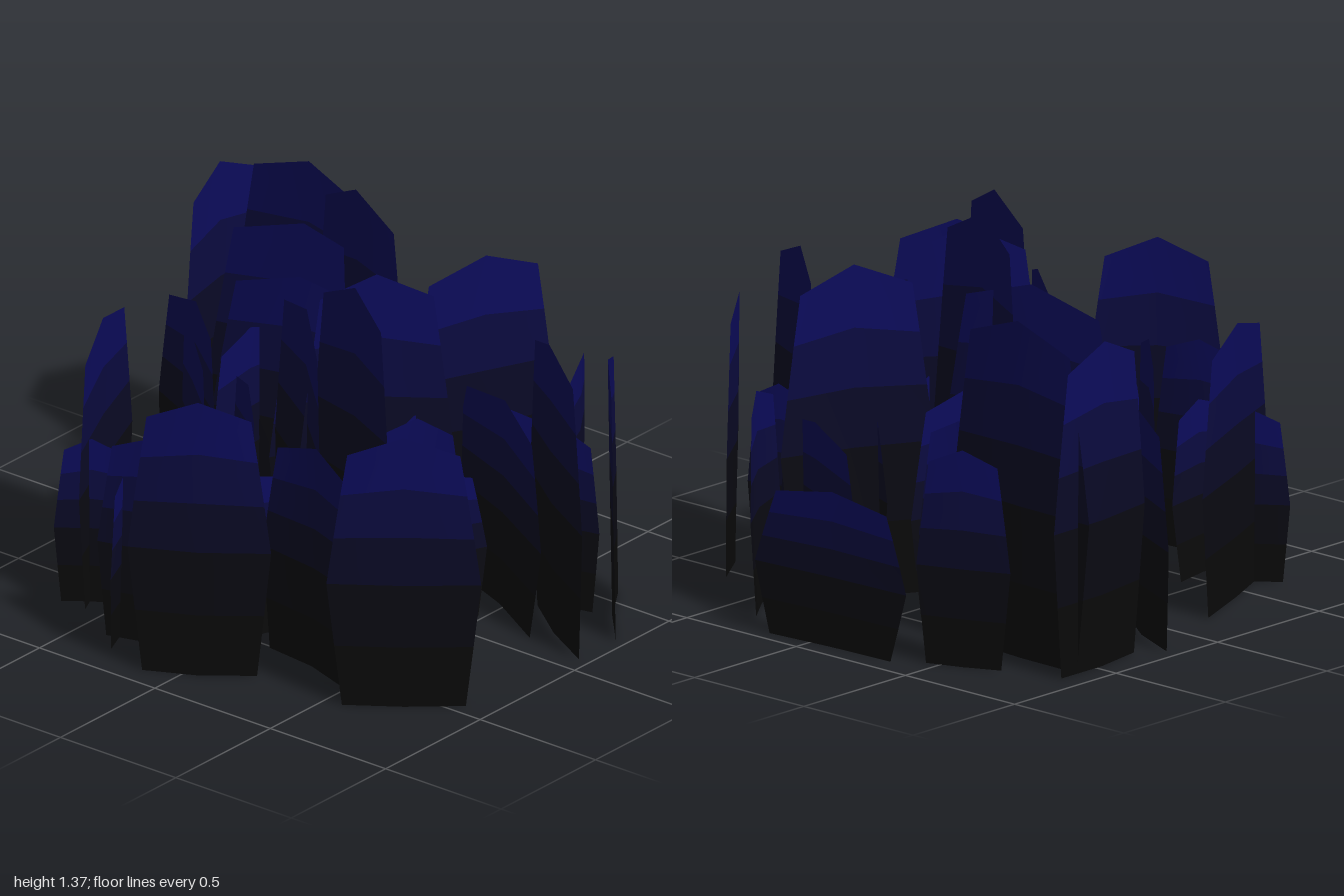
import * as THREE from 'three';

// Each blade: ends of its widest line seen from above (x1, z1, x2, z2) and its height
const outerBlades = [
  [-0.73, -0.55, -0.13, -0.81, 0.96], [0.56, -0.31, 0.6, -0.97, 1.18],
  [0.04, 1.0, 0.34, 0.53, 1.07], [-0.95, -0.16, -0.69, 0.25, 1.02],
  [0.945, 0.24, 0.91, -0.42, 0.54], [-0.74, 0.53, -0.42, 0.94, 1.0],
  [0.23, 0.98, 0.6, 0.69, 0.95], [0.52, 0.52, 0.87, 0.33, 0.74],
  [0.73, -0.73, 0.86, -0.42, 0.76], [0.52, 0.52, 0.8, 0.1 - 0.2, 0.67],
  [0.23, -0.88, 0.72, -0.92, 1.14], [-0.03, -0.53, 0.23, -0.99, 0.8],
  [-0.68, -0.7, -0.54, -0.49, 0.6], [-0.88, -0.29, -0.59, -0.44, 0.6],
  [-0.78, -0.43, -0.71, -0.05, 0.75], [-0.6, 0.54, -0.49, 0.05, 0.8],
];
const innerBlades = [
  [-0.2, -0.03, 0.16, 0.35, 1.22], [-0.34, 0.48, -0.17, 0.0, 1.28],
  [0.17, 0.14, 0.3, -0.37, 1.37], [0.19, 0.12, 0.7, 0.35, 1.16],
  [0.17, -0.73, 0.26, 0.02, 1.17], [0.11, -0.66, 0.26, 0.0, 1.0],
  [-0.2, 0.27, 0.0, 0.53, 0.78], [-0.34, 0.36, -0.07, 0.46, 0.65],
  [0.07, -0.15, 0.51, -0.07, 0.77], [0.46, -0.45, 0.59, -0.18, 0.75],
  [0.47, -0.45, 0.47, -0.12, 0.7], [-0.75, -0.4, -0.4, -0.42, 0.6],
  [-0.38, -0.28, -0.09, -0.63, 0.9], [-0.37, -0.08, -0.03, -0.46, 0.75],
  [-0.7, -0.03, -0.32, 0.03, 0.6], [-0.38, 0.21, 0.04, -0.33, 1.08],
  [-0.42, 0.13, -0.12, 0.09, 0.55], [-0.17, 0.27, 0.28, 0.21, 0.7],
  [-0.2, 0.35, 0.16, 0.49, 0.55], [0.0, 0.11, 0.27, 0.06, 0.5],
  [0.03, 0.16, 0.28, 0.25, 0.5], [0.06, 0.26, 0.14, -0.15, 0.85],
  [0.13, -0.43, 0.41, -0.23, 0.7], [0.08, 0.79, 0.39, 0.15, 0.75],
  [0.33, 0.55, 0.4, 0.78, 0.65], [-0.12, -0.48, 0.29, -0.5, 0.8],
  [0.35, 0.2, 0.54, 0.5, 0.6],
];

// Rows up the blade: height of the edges, height of the midrib, width (shares of full size)
const rows = [
  [0, 0, 0.8], [0.22, 0.22, 0.9], [0.45, 0.45, 1],
  [0.62, 0.63, 0.91], [0.78, 0.81, 0.82], [0.93, 1, 0.73],
];

// Nearly black at the root, deep blue at the tip
const materials = rows.slice(1).map((row, i) => new THREE.MeshStandardMaterial({
  color: [0x0a0a0a, 0x0a0a12, 0x0a0a26, 0x0b0b40, 0x0c0c5c][i],
  side: THREE.DoubleSide,
}));

function createBlade([x1, z1, x2, z2, height], index) {
  const width = Math.hypot(x2 - x1, z2 - z1);
  const bend = (index % 2 ? 1 : -1) * (0.006 + 0.005 * (index % 4));
  const positions = [], indices = [];
  const geometry = new THREE.BufferGeometry();

  rows.forEach(([edgeY, ribY, share], r) => {
    const half = width * share / 2;
    const lean = bend * (edgeY - 0.45);
    positions.push(
      -half, edgeY * height, lean,
      0, ribY * height, lean + bend,
      half, edgeY * height, lean,
    );
    if (r === 0) return;
    const a = (r - 1) * 3, b = r * 3;
    geometry.addGroup(indices.length, 12, r - 1);
    for (let c = 0; c < 2; c++) {
      indices.push(a + c, a + c + 1, b + c + 1, a + c, b + c + 1, b + c);
    }
  });
  geometry.setAttribute('position', new THREE.Float32BufferAttribute(positions, 3));
  geometry.setIndex(indices);
  geometry.computeVertexNormals();

  const blade = new THREE.Mesh(geometry, materials);
  blade.name = 'blade';
  blade.position.set((x1 + x2) / 2, 0, (z1 + z2) / 2);
  blade.rotation.y = -Math.atan2(z2 - z1, x2 - x1);
  return blade;
}

export function createModel() {
  const model = new THREE.Group();
  model.name = 'bladeCluster';
  for (const [name, list] of [['outerBlades', outerBlades], ['innerBlades', innerBlades]]) {
    const ring = new THREE.Group();
    ring.name = name;
    list.forEach((data, i) => ring.add(createBlade(data, i)));
    model.add(ring);
  }
  return model;
}
